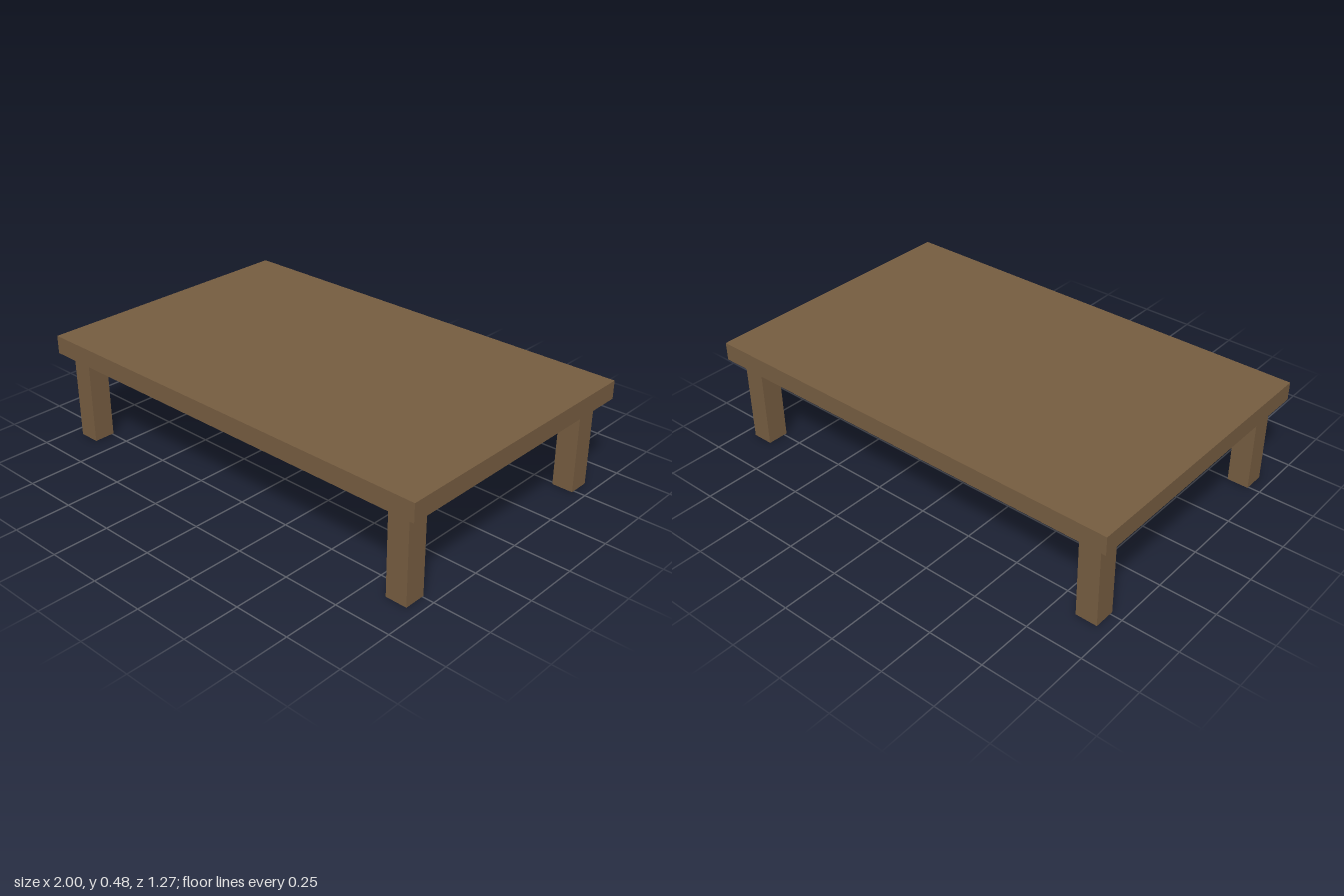
import * as THREE from 'three';

export function createModel() {
  const model = new THREE.Group();
  model.name = 'lowTable';

  const wood = new THREE.MeshStandardMaterial({ color: 0x755c40 });
  wood.name = 'brown wood';

  const legHeight = 0.4, topThickness = 0.082, legWidth = 0.097;

  const addBox = (name, size, position) => {
    const mesh = new THREE.Mesh(new THREE.BoxGeometry(...size), wood);
    mesh.name = name;
    mesh.position.set(...position);
    model.add(mesh);
  };

  // Slab top
  addBox('tableTop', [2, topThickness, 1.266], [0, legHeight + topThickness / 2, 0]);

  // Four square legs, set in from the corners
  for (const [end, z] of [['front', 0.542], ['back', -0.535]]) {
    for (const [side, x] of [['Left', 0.898], ['Right', -0.898]]) {
      addBox(`${end}${side}Leg`, [legWidth, legHeight, legWidth], [x, legHeight / 2, z]);
    }
  }

  return model;
}
